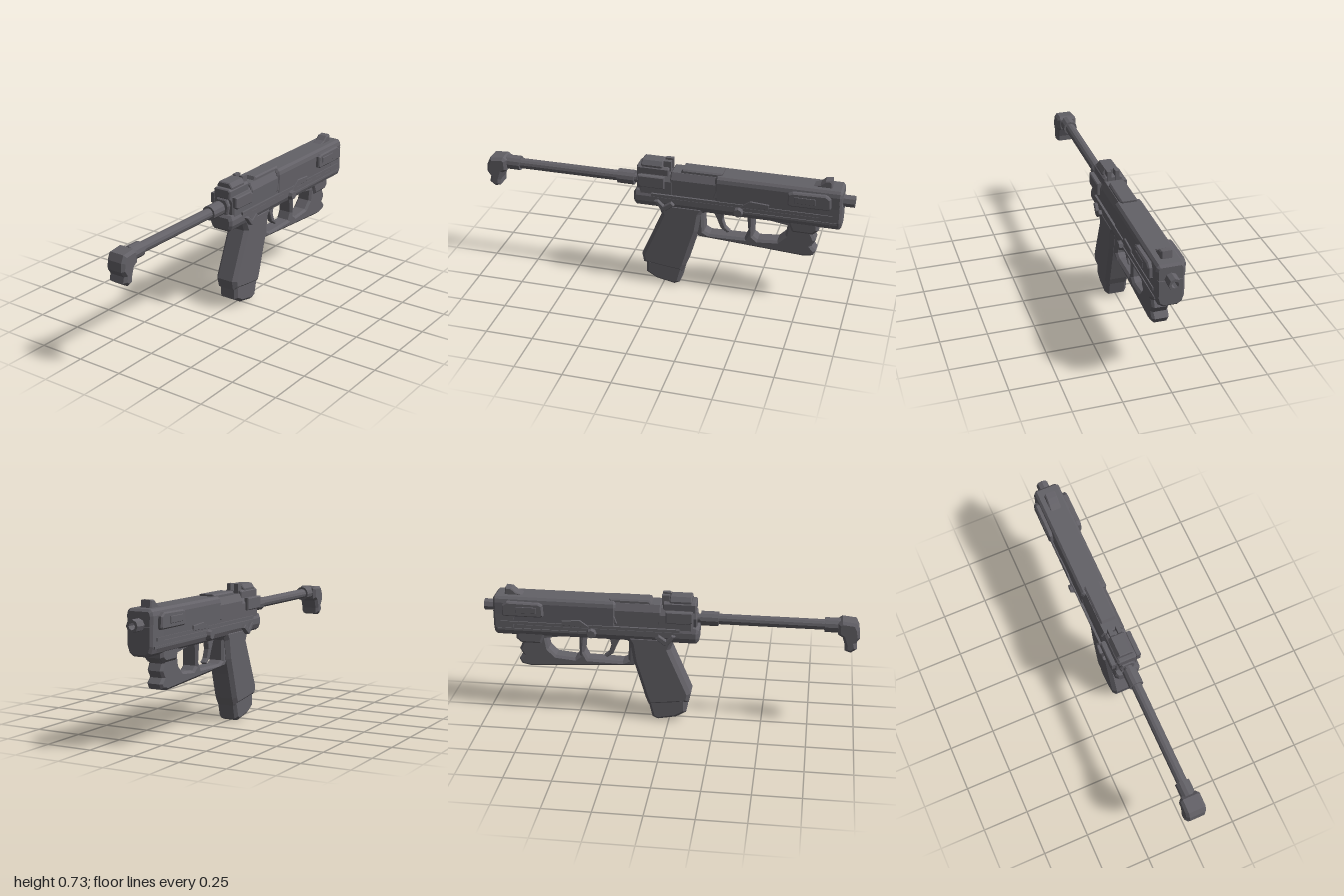
import * as THREE from 'three';

export function createModel() {
  const model = new THREE.Group();
  const gunmetal = new THREE.MeshStandardMaterial({ color: 0x636167 });
  gunmetal.name = 'gunmetal';

  function add(name, geometry, x = 0, y = 0, z = 0) {
    const flat = geometry.index ? geometry.toNonIndexed() : geometry;
    flat.computeVertexNormals();
    const mesh = new THREE.Mesh(flat, gunmetal);
    mesh.name = name;
    mesh.position.set(x, y, z);
    model.add(mesh);
  }
  const outline = (points) => points.map(([a, b]) => new THREE.Vector2(a, b));

  // Side profile (x, y) extruded across z with chamfered edges; holes run opposite to the outline
  function slab(points, halfWidth, bevel, holes = []) {
    const shape = new THREE.Shape(outline(points));
    holes.forEach((h) => shape.holes.push(new THREE.Path(outline(h))));
    const depth = 2 * (halfWidth - bevel);
    return new THREE.ExtrudeGeometry(shape, {
      depth, bevelThickness: bevel, bevelSize: bevel, bevelOffset: -bevel, bevelSegments: 1,
    }).translate(0, 0, -depth / 2);
  }

  // Symmetric cross-section (half width, y) extruded from x0 to x1
  function bar(half, x0, x1, bevel) {
    const points = [...half, ...half.map(([z, y]) => [-z, y]).reverse()];
    return new THREE.ExtrudeGeometry(new THREE.Shape(outline(points)), {
      depth: x1 - x0 - 2 * bevel, bevelThickness: bevel, bevelSize: bevel, bevelOffset: -bevel, bevelSegments: 1,
    }).translate(0, 0, x0 + bevel).rotateY(Math.PI / 2);
  }

  // Round rod along x
  function rod(name, x0, x1, r, y) {
    add(name, new THREE.CylinderGeometry(r, r, x1 - x0, 12).rotateZ(Math.PI / 2), (x0 + x1) / 2, y);
  }

  // Upper body: front slide, lower-topped rear, and tail
  add('frontSlide', bar([[0.069, 0.53], [0.073, 0.66], [0.068, 0.68], [0.056, 0.692]], 0.28, 0.94, 0.012));
  add('rearSlide', bar([[0.064, 0.53], [0.066, 0.645], [0.048, 0.683]], 0.04, 0.31, 0.006));
  add('slideTail', bar([[0.064, 0.53], [0.066, 0.63], [0.045, 0.665]], -0.13, 0.06, 0.01));
  add('slideStep', slab([[0.27, 0.57], [0.35, 0.57], [0.35, 0.675], [0.305, 0.675]], 0.07, 0.006));
  add('topCover', slab([[0.085, 0.67], [0.31, 0.67], [0.315, 0.702], [0.1, 0.702]], 0.045, 0.008));

  // Lower body with side ribs
  add('frame', bar([[0.046, 0.47], [0.06, 0.481], [0.07, 0.505], [0.07, 0.535], [0.06, 0.56]], -0.16, 0.9, 0.014));
  add('noseBlock', bar([[0.036, 0.464], [0.06, 0.48], [0.071, 0.515], [0.071, 0.62]], 0.82, 0.942, 0.012));
  for (const s of [1, -1]) {
    add('upperRib', new THREE.BoxGeometry(0.96, 0.016, 0.012), 0.42, 0.548, s * 0.07);
    add('lowerRib', new THREE.BoxGeometry(0.5, 0.012, 0.01), 0.67, 0.51, s * 0.07);
    add('sideWedge', slab([[0.42, 0.545], [0.57, 0.55], [0.57, 0.575], [0.47, 0.582]], 0.006, 0.002), 0, 0, s * 0.073);

    // Raised front side housing with inset plate
    add('sideHousing', slab([[0.665, 0.6], [0.68, 0.592], [0.88, 0.592], [0.888, 0.602],
      [0.885, 0.655], [0.86, 0.673], [0.69, 0.67], [0.668, 0.66]], 0.021, 0.007), 0, 0, s * 0.073);
    add('sidePlate', slab([[0.7, 0.615], [0.81, 0.615], [0.81, 0.65], [0.7, 0.65]], 0.004, 0.002), 0, 0, s * 0.093);

    // Rear side block, lever and cross pin
    add('rearBlock', slab([[-0.13, 0.605], [-0.115, 0.592], [0.012, 0.592], [0.012, 0.658], [-0.13, 0.658]], 0.014, 0.005), 0, 0, s * 0.07);
    add('lever', slab([[-0.04, 0.52], [-0.02, 0.525], [0.01, 0.495], [0.05, 0.522], [0.068, 0.505],
      [0.02, 0.466], [0, 0.468]], 0.013, 0.004), 0, 0, s * 0.076);
    add('crossPin', new THREE.CylinderGeometry(0.022, 0.03, 0.028, 8).rotateX(s * Math.PI / 2), 0.41, 0.51, s * 0.077);
  }

  // Pistol grip and magazine base
  add('grip', slab([[-0.035, 0.5], [0.225, 0.5], [0.205, 0.45], [0.19, 0.35], [0.165, 0.27], [0.125, 0.13],
    [0.108, 0.09], [-0.02, 0.105], [-0.11, 0.118], [-0.12, 0.17], [-0.01, 0.43]], 0.066, 0.02));
  add('magazineBase', slab([[-0.095, 0.14], [-0.095, 0.055], [-0.04, 0.022], [0.06, 0.002], [0.09, 0.016], [0.115, 0.12]], 0.057, 0.016));

  // Trigger guard and foregrip in one frame with two openings
  add('guardFrame', slab([[0.16, 0.5], [0.825, 0.5], [0.828, 0.445], [0.798, 0.415], [0.815, 0.38], [0.795, 0.345],
    [0.82, 0.318], [0.805, 0.29], [0.755, 0.28], [0.19, 0.315], [0.16, 0.36]], 0.044, 0.012, [
    [[0.22, 0.35], [0.25, 0.335], [0.44, 0.34], [0.46, 0.38], [0.45, 0.475], [0.24, 0.475], [0.215, 0.455]],
    [[0.485, 0.36], [0.51, 0.34], [0.615, 0.35], [0.655, 0.39], [0.665, 0.45], [0.64, 0.485], [0.485, 0.475]],
  ]));
  add('foregripShoulder', slab([[0.66, 0.5], [0.825, 0.5], [0.828, 0.445], [0.8, 0.42], [0.69, 0.42]], 0.057, 0.014));
  add('trigger', slab([[0.25, 0.49], [0.33, 0.49], [0.315, 0.42], [0.33, 0.375], [0.355, 0.355], [0.34, 0.345],
    [0.305, 0.37], [0.285, 0.42]], 0.016, 0.004));

  // Hollow muzzle
  const ring = new THREE.Shape().absarc(0, 0, 0.032, 0, Math.PI * 2);
  ring.holes.push(new THREE.Path().absarc(0, 0, 0.018, 0, Math.PI * 2, true));
  add('muzzle', new THREE.ExtrudeGeometry(ring, { depth: 0.07, bevelEnabled: false, curveSegments: 4 })
    .rotateY(Math.PI / 2), 0.93, 0.617);

  // Sights
  add('frontSight', slab([[0.77, 0.685], [0.82, 0.705], [0.845, 0.727], [0.878, 0.73], [0.884, 0.685]], 0.03, 0.006));
  add('rearSightMount', bar([[0.05, 0.645], [0.052, 0.69], [0.04, 0.7]], -0.145, 0.03, 0.006));
  add('rearSightHousing', bar([[0.046, 0.68], [0.048, 0.705], [0.032, 0.728]], -0.122, -0.005, 0.005));
  for (const s of [1, -1]) {
    add('rearSightPost', new THREE.BoxGeometry(0.042, 0.055, 0.022), 0.017, 0.705, s * 0.022);
  }

  // Telescoping stock and butt hook
  add('stockSocket', bar([[0.035, 0.56], [0.045, 0.61], [0.03, 0.645]], -0.15, -0.11, 0.006));
  rod('stockPin', -0.19, -0.12, 0.024, 0.6);
  rod('frontCollar', -0.26, -0.168, 0.039, 0.6);
  rod('stockTube', -0.84, -0.24, 0.028, 0.6);
  rod('rearCollar', -0.895, -0.815, 0.039, 0.6);
  add('buttHook', slab([[-0.995, 0.595], [-0.978, 0.632], [-0.905, 0.64], [-0.885, 0.625], [-0.885, 0.565],
    [-0.91, 0.55], [-0.925, 0.505], [-0.925, 0.475], [-0.957, 0.465], [-0.988, 0.488], [-0.98, 0.52], [-1, 0.55]], 0.054, 0.014));

  return model;
}
